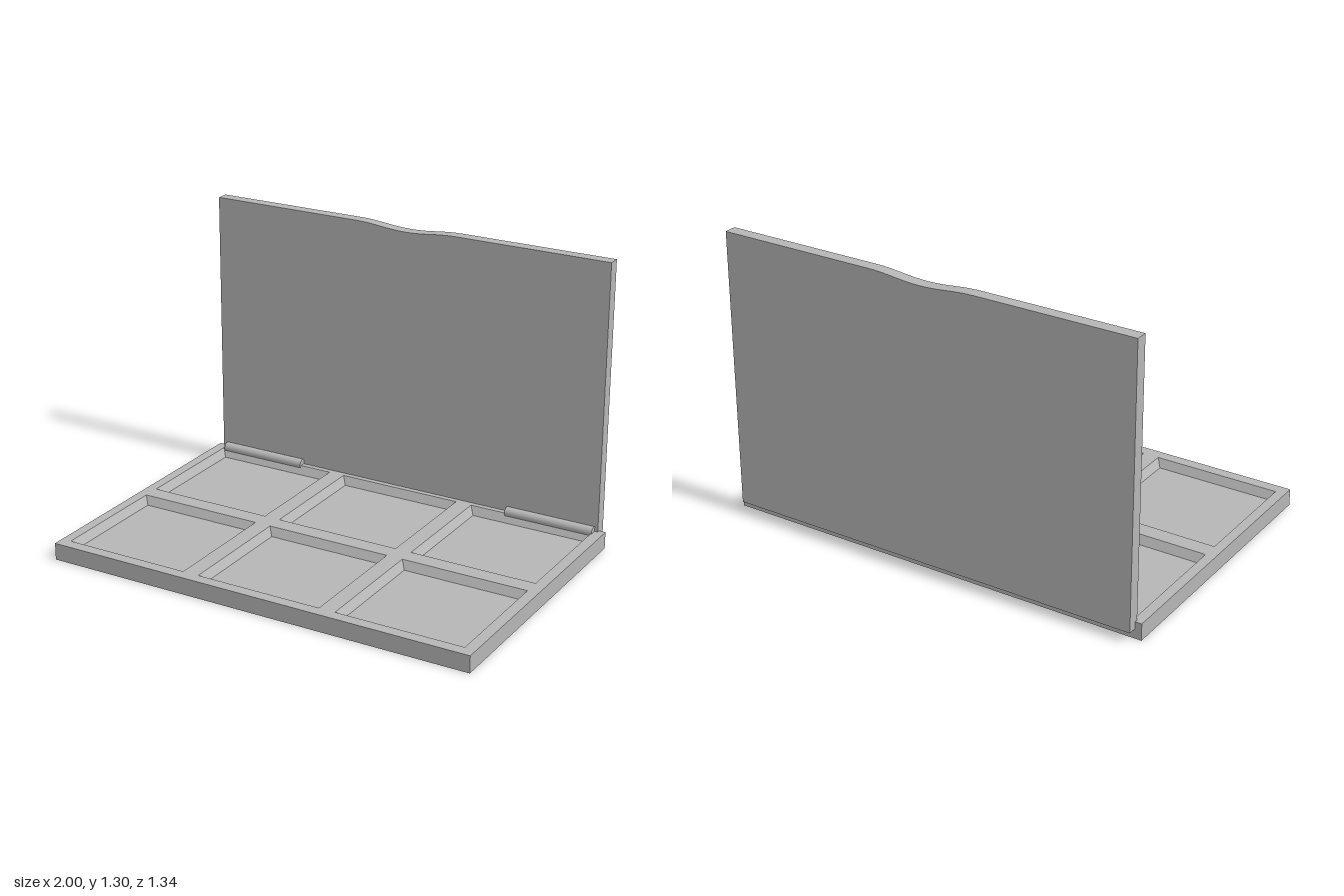
import * as THREE from 'three';

const TOP = 0.077, FLOOR = 0.04, BACK = -0.63, FRONT = 0.67, SLOPE = 0.022;

// Counter-clockwise corners (seen from above) of a rectangle, as [x, z]
const corners = (x0, x1, z0, z1) => [[x0, z1], [x1, z1], [x1, z0], [x0, z0]];
const toPoints = (list) => list.map(([x, z]) => new THREE.Vector2(x, -z));

// Four sloping walls running from the pocket opening down to its floor
function pocketWalls(x0, x1, z0, z1) {
  const upper = corners(x0, x1, z0, z1).map(([x, z]) => [x, TOP, z]);
  const lower = corners(x0 + SLOPE, x1 - SLOPE, z0 + SLOPE, z1 - SLOPE).map(([x, z]) => [x, FLOOR, z]);
  const pos = [];
  for (let i = 0; i < 4; i++) {
    const j = (i + 1) % 4;
    pos.push(...upper[i], ...upper[j], ...lower[j], ...upper[i], ...lower[j], ...lower[i]);
  }
  const geo = new THREE.BufferGeometry();
  geo.setAttribute('position', new THREE.Float32BufferAttribute(pos, 3));
  geo.computeVertexNormals();
  return geo;
}

export function createModel() {
  const model = new THREE.Group();
  model.name = 'openPalette';
  const grey = new THREE.MeshStandardMaterial({ color: 0xb6b6b6 });
  grey.name = 'plain grey';

  const add = (name, geo, parent = model) => {
    const mesh = new THREE.Mesh(geo, grey);
    mesh.name = name;
    parent.add(mesh);
    return mesh;
  };

  // Tray: solid base whose top forms the pocket floors, with a pierced frame above
  const tray = new THREE.Group();
  tray.name = 'tray';
  model.add(tray);
  add('trayBase', new THREE.BoxGeometry(2, FLOOR, FRONT - BACK), tray)
    .position.set(0, FLOOR / 2, (FRONT + BACK) / 2);

  const frame = new THREE.Shape(toPoints(corners(-1, 1, BACK, FRONT)));
  for (const x of [-0.955, -0.295, 0.365]) {
    for (const z of [-0.59, 0.053]) {
      const rect = [x, x + 0.585, z, z + 0.565];
      frame.holes.push(new THREE.Path(toPoints(corners(...rect))));
      add('pocketWalls', pocketWalls(...rect), tray);
    }
  }
  const frameGeo = new THREE.ExtrudeGeometry(frame, { depth: TOP - FLOOR, bevelEnabled: false });
  frameGeo.rotateX(-Math.PI / 2);
  add('trayFrame', frameGeo, tray).position.y = FLOOR;

  // Upright lid with a shallow finger dip in its top edge
  const lid = new THREE.Shape();
  lid.moveTo(-0.97, 0.045);
  lid.lineTo(0.97, 0.045);
  lid.lineTo(0.97, 1.305);
  lid.lineTo(0.25, 1.305);
  lid.bezierCurveTo(0.15, 1.305, 0.1, 1.288, 0, 1.288);
  lid.bezierCurveTo(-0.1, 1.288, -0.15, 1.305, -0.25, 1.305);
  lid.lineTo(-0.97, 1.305);
  lid.closePath();
  add('lid', new THREE.ExtrudeGeometry(lid, { depth: 0.055, bevelEnabled: false, curveSegments: 10 }))
    .position.z = -0.67;

  // Hinge barrels where lid and tray meet
  for (const x of [-0.735, 0.745]) {
    const geo = new THREE.CylinderGeometry(0.023, 0.023, 0.42, 20);
    geo.rotateZ(Math.PI / 2);
    add('hingeBarrel', geo).position.set(x, 0.08, -0.603);
  }
  return model;
}
